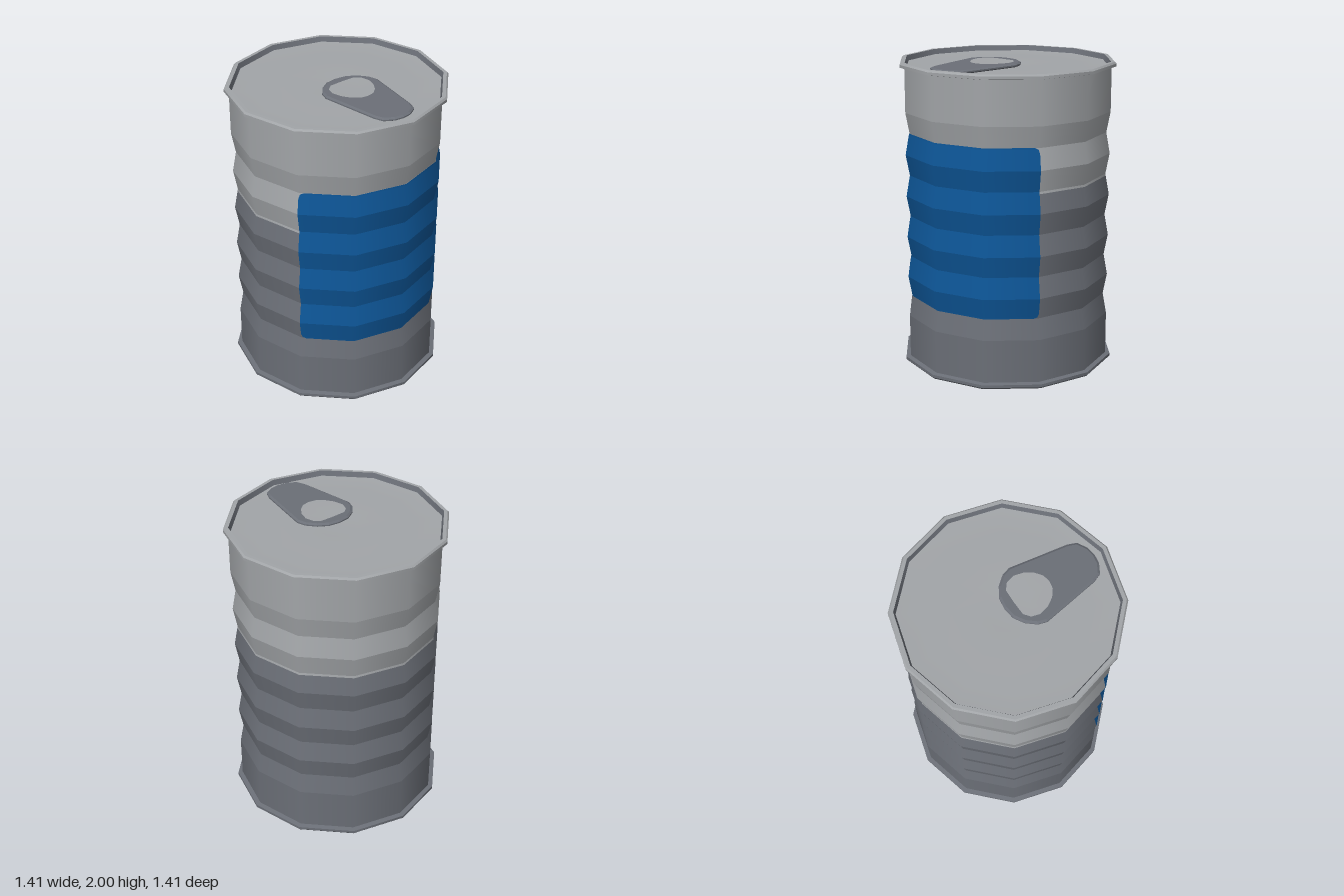
import * as THREE from 'three';
import { mergeGeometries } from 'three/addons/utils/BufferGeometryUtils.js';

const SIDES = 12;
const material = (name, color) => {
  const m = new THREE.MeshStandardMaterial({ color });
  m.name = name;
  return m;
};

// Corrugated wall: [radius, height] from bottom to top
const WALL = [[0.675, 0.02], [0.675, 0.32]];
for (let i = 1; i <= 10; i++) WALL.push([i % 2 ? 0.65 : 0.675, 0.32 + i * 0.136]);
WALL.push([0.675, 1.98]);

function radiusAt(y) {
  const i = Math.max(1, WALL.findIndex(p => p[1] >= y));
  const [r0, y0] = WALL[i - 1], [r1, y1] = WALL[i];
  return r0 + (r1 - r0) * (y - y0) / (y1 - y0);
}

// Wall points between two heights
function wallBetween(low, high) {
  const inner = WALL.filter(p => p[1] > low + 0.001 && p[1] < high - 0.001);
  return [[radiusAt(low), low], ...inner, [radiusAt(high), high]];
}

const lathe = pts => new THREE.LatheGeometry(pts.map(p => new THREE.Vector2(...p)), SIDES);

// One lathe per band: smooth around the can, sharp between bands
const bands = pts => mergeGeometries(pts.slice(1).map((p, i) => lathe([pts[i], p])));

// Curved label following the flat sides, with clipped corners
function labelGeometry(low, high, lift) {
  const inset = y => {
    const d = Math.min(y - low, high - y);
    return d < 0.005 ? 0.09 : d < 0.018 ? 0.025 : 0;
  };
  const ys = [low, low + 0.01, low + 0.035, high - 0.035, high - 0.01, high,
    ...WALL.map(p => p[1]).filter(y => y > low + 0.04 && y < high - 0.04)].sort((a, b) => a - b);
  const step = Math.PI * 2 / SIDES;
  const pos = [], nor = [], idx = [];
  for (let i = 0; i < ys.length - 1; i++) {
    const base = pos.length / 3;
    const dy = ys[i + 1] - ys[i], dr = radiusAt(ys[i + 1]) - radiusAt(ys[i]);
    for (const y of [ys[i], ys[i + 1]]) {
      const r = radiusAt(y) + lift, h = 2 - inset(y);
      for (const t of [-h, -1, 0, 1, h]) {
        const k = Math.floor(t), f = t - k, a = k * step, b = a + step;
        pos.push(r * (Math.sin(a) * (1 - f) + Math.sin(b) * f), y,
          r * (Math.cos(a) * (1 - f) + Math.cos(b) * f));
        const n = new THREE.Vector3(Math.sin(t * step) * dy, -dr, Math.cos(t * step) * dy).normalize();
        nor.push(n.x, n.y, n.z);
      }
    }
    for (let j = 0; j < 4; j++) {
      const a = base + j, c = a + 5;
      idx.push(a, a + 1, c, a + 1, c + 1, c);
    }
  }
  const g = new THREE.BufferGeometry();
  g.setAttribute('position', new THREE.Float32BufferAttribute(pos, 3));
  g.setAttribute('normal', new THREE.Float32BufferAttribute(nor, 3));
  g.setIndex(idx);
  return g;
}

// Mirrors the right half of an outline, listed back to front as [x, z]
function mirrored(half) {
  const left = half.filter(p => p[0] > 0).reverse().map(([x, z]) => [-x, z]);
  return [...half, ...left].map(([x, z]) => new THREE.Vector2(x, -z));
}

function tabGeometry() {
  const bevel = 0.014;
  const shape = new THREE.Shape(mirrored([[0, -0.012], [0.07, -0.002], [0.13, 0.035], [0.175, 0.09],
    [0.19, 0.14], [0.13, 0.51], [0.11, 0.56], [0.055, 0.592], [0, 0.6]]));
  shape.holes.push(new THREE.Path(mirrored([[0, 0.04], [0.09, 0.043], [0.13, 0.075], [0.145, 0.13],
    [0.13, 0.19], [0.095, 0.245], [0.05, 0.28], [0, 0.29]])));
  const g = new THREE.ExtrudeGeometry(shape, {
    depth: 0.008, bevelThickness: 0.008, bevelSize: bevel, bevelSegments: 1,
  });
  g.rotateX(-Math.PI / 2);
  g.rotateX(0.012);
  g.translate(0, 1.983, 0);
  return g;
}

export function createModel() {
  const light = material('light metal', 0xa2a5a8);
  const dark = material('dark metal', 0x6b6f77);
  const blue = material('label blue', 0x0d5596);
  const can = new THREE.Group();
  can.name = 'tinCan';
  const add = (name, geometry, mat) => {
    const mesh = new THREE.Mesh(geometry, mat);
    mesh.name = name;
    can.add(mesh);
  };

  // Body in two tones
  add('lowerWall', bands(wallBetween(0.02, 1.258)), dark);
  add('upperWall', bands(wallBetween(1.258, 1.98)), light);
  add('label', labelGeometry(0.455, 1.546, 0.004), blue);

  // Rolled rims
  add('topRim', bands([[0.675, 1.962], [0.705, 1.968], [0.705, 1.986], [0.695, 1.997], [0.672, 1.997]]), light);
  add('topRimInside', bands([[0.672, 1.997], [0.66, 1.962]]), dark);
  add('bottomRim', bands([[0.66, 0.012], [0.672, 0.003], [0.695, 0.003], [0.705, 0.014],
    [0.705, 0.032], [0.675, 0.038]]), dark);

  // Ends
  add('lid', lathe([[0.662, 1.964], [0.51, 1.955], [0.34, 1.964], [0.14, 1.956], [0, 1.956]]), light);
  add('base', lathe([[0, 0.012], [0.662, 0.012]]), dark);

  // Pull tab with its rivet underneath
  add('pullTab', tabGeometry(), dark);
  add('tabRivet', new THREE.CylinderGeometry(0.06, 0.06, 0.03, SIDES).translate(0, 1.966, 0.43), dark);
  return can;
}
